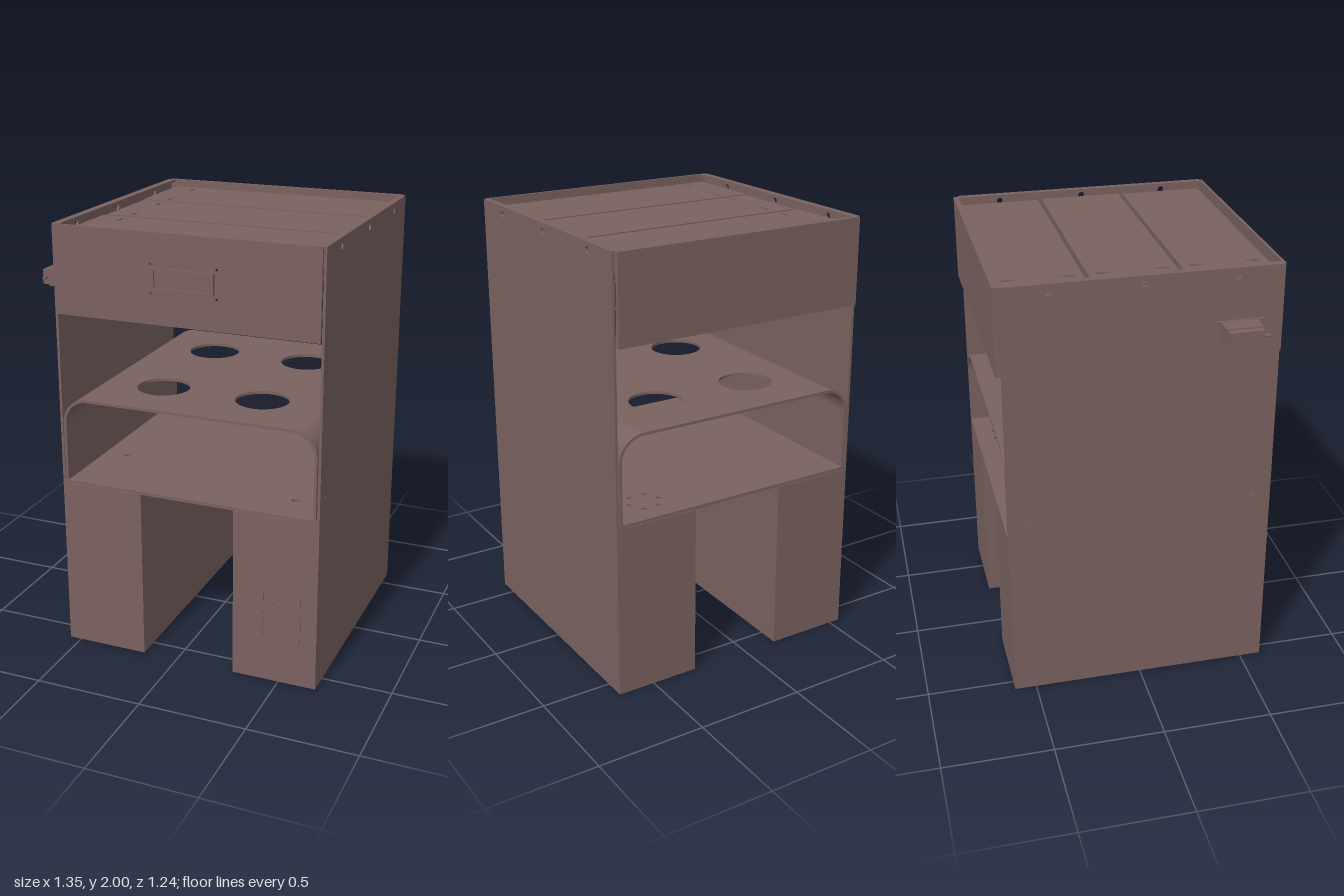
import * as THREE from 'three';

const material = new THREE.MeshStandardMaterial({ color: 0x7a6260, side: THREE.DoubleSide });

// Rectangle outline, and hole outlines: circle and upright slot
const rect = (C, x0, y0, x1, y1) => {
  const s = new C();
  s.moveTo(x0, y0).lineTo(x1, y0).lineTo(x1, y1).lineTo(x0, y1).closePath();
  return s;
};
const circle = (x, y, r) => new THREE.Path().absarc(x, y, r, 0, Math.PI * 2, true);
const slot = (x, y, r, half) => {
  const p = new THREE.Path();
  p.absarc(x, y + half, r, 0, Math.PI, false);
  p.absarc(x, y - half, r, Math.PI, Math.PI * 2, false);
  return p.closePath();
};

const plate = (shape, holes, depth) => {
  shape.holes.push(...holes);
  return new THREE.ExtrudeGeometry(shape, { depth, bevelEnabled: false, curveSegments: 20 });
};

export function createModel() {
  const model = new THREE.Group();
  const add = (name, geometry, parent = model) => {
    const mesh = new THREE.Mesh(geometry, material);
    mesh.name = name;
    parent.add(mesh);
    return mesh;
  };
  // Box given by its two corners
  const box = (name, x0, x1, y0, y1, z0, z1, parent) => add(name,
    new THREE.BoxGeometry(x1 - x0, y1 - y0, z1 - z0)
      .translate((x0 + x1) / 2, (y0 + y1) / 2, (z0 + z1) / 2), parent);
  const group = (name) => {
    const g = new THREE.Group();
    g.name = name;
    model.add(g);
    return g;
  };

  // Tall side panels with bolt holes
  for (const [name, x] of [['rightSidePanel', -0.555], ['leftSidePanel', 0.663]]) {
    const holes = [
      ...[-0.4, 0, 0.4].map((z) => circle(z, 1.965, 0.015)),
      ...[-0.52, 0.52].map((z) => circle(z, 0.9, 0.006)),
    ];
    add(name, plate(rect(THREE.Shape, -0.6, 0, 0.6, 2), holes, 0.012)
      .rotateY(Math.PI / 2).translate(x, 0, 0));
  }

  // Pedestal legs
  box('rightLeg', -0.544, -0.165, 0, 0.803, -0.6, 0.6);
  box('leftLeg', 0.28, 0.664, 0, 0.803, -0.6, 0.6);

  // Shelf with a ring of cable holes
  const shelfHoles = [circle(-0.41, 0.23, 0.016), circle(0.51, 0.43, 0.02)];
  for (let i = 0; i < 6; i++) {
    const a = i * Math.PI / 3;
    shelfHoles.push(circle(0.445 + 0.075 * Math.cos(a), -0.44 + 0.075 * Math.sin(a), 0.014));
  }
  add('shelf', plate(rect(THREE.Shape, -0.544, -0.6, 0.664, 0.6), shelfHoles, 0.015)
    .rotateX(Math.PI / 2).translate(0, 0.82, 0));

  // Bent cover: flat top with four round openings, rounded shoulders and legs
  const cover = group('bentCover');
  const [cx0, cx1, cTop, r, t] = [-0.54, 0.658, 1.218, 0.12, 0.013];
  add('coverTop', plate(rect(THREE.Shape, cx0 + r, -0.6, cx1 - r, 0.6),
    [-0.18, 0.3].flatMap((x) => [-0.3, 0.3].map((z) => circle(x, z, 0.122))), t)
    .rotateX(Math.PI / 2).translate(0, cTop, 0), cover);
  for (const [x, dir] of [[cx0, 1], [cx1, -1]]) {
    const s = new THREE.Shape();
    const a = dir > 0 ? Math.PI : 0;
    s.moveTo(x, 0.82).lineTo(x, cTop - r);
    s.absarc(x + dir * r, cTop - r, r, a, Math.PI / 2, dir > 0);
    s.lineTo(x + dir * r, cTop - t);
    s.absarc(x + dir * r, cTop - r, r - t, Math.PI / 2, a, dir < 0);
    s.lineTo(x + dir * t, 0.82);
    add('coverShoulder', plate(s, [], 1.2).translate(0, 0, -0.6), cover);
  }

  // Hood front with display cut-out and screw holes, and plain hood back
  const screws = [-0.09, 0.21].flatMap((x) => [1.74, 1.865].map((y) => circle(x, y, 0.007)));
  add('hoodFront', plate(rect(THREE.Shape, -0.543, 1.605, 0.661, 2),
    [rect(THREE.Path, -0.075, 1.765, 0.195, 1.845), ...screws], 0.012).translate(0, 0, 0.598));
  box('hoodBack', -0.543, 0.661, 1.605, 2, -0.622, -0.6);

  // Display bezel and screen
  const display = group('display');
  add('displayBezel', plate(rect(THREE.Shape, -0.08, 1.757, 0.2, 1.852),
    [rect(THREE.Path, -0.07, 1.767, 0.19, 1.842)], 0.022).translate(0, 0, 0.6), display);
  box('displayScreen', -0.075, 0.195, 1.765, 1.845, 0.59, 0.612, display);

  // Rim around the top
  const rim = group('topRim');
  box('rimRight', -0.55, -0.52, 1.988, 2, -0.6, 0.6, rim);
  box('rimLeft', 0.645, 0.67, 1.988, 2, -0.6, 0.6, rim);

  // Three recessed top panels with turned-down edges, slots and holes
  for (const [x0, x1, z0, z1, slots, holes] of [
    [-0.515, 0.637, -0.6, -0.22, [-0.54, -0.275], [-0.505, -0.31]],
    [-0.505, 0.645, -0.2, 0.18, [-0.14, 0.125], [-0.105, 0.09]],
    [-0.515, 0.637, 0.2, 0.58, [0.26, 0.525], [0.295, 0.49]],
  ]) {
    const panel = group('topPanel');
    add('panelSheet', plate(rect(THREE.Shape, x0, z0, x1, z1), [
      ...slots.map((z) => slot(-0.395, z, 0.01, 0.013)),
      ...holes.map((z) => circle(-0.395, z, 0.007)),
    ], 0.01).rotateX(Math.PI / 2).translate(0, 1.965, 0), panel);
    box('panelEdge', x0, x1, 1.925, 1.96, z0, z0 + 0.008, panel);
    box('panelEdge', x0, x1, 1.925, 1.96, z1 - 0.008, z1, panel);
  }

  // Rails carrying the top panels
  for (const [x0, x1] of [[-0.543, -0.49], [-0.44, -0.41], [0.61, 0.663]])
    box('panelRail', x0, x1, 1.905, 1.925, -0.6, 0.598);

  // Connector housing on the right side
  const connector = group('sideConnector');
  box('connectorFlange', -0.565, -0.555, 1.69, 1.77, 0.3, 0.52, connector);
  box('connectorBody', -0.645, -0.565, 1.692, 1.768, 0.33, 0.49, connector);
  box('connectorCap', -0.675, -0.645, 1.697, 1.763, 0.335, 0.485, connector);
  box('connectorInner', -0.545, -0.48, 1.7, 1.76, 0.35, 0.47, connector);
  add('connectorLatch', new THREE.CylinderGeometry(0.007, 0.007, 0.03, 10)
    .rotateX(Math.PI / 2).translate(-0.655, 1.73, 0.502), connector);

  // Vent strips on the front of the left leg
  const vent = group('ventStrips');
  for (const y of [0.21, 0.39])
    for (let i = 0; i < 4; i++)
      box('ventBar', 0.37 + i * 0.06, 0.415 + i * 0.06, y - 0.005, y + 0.005, 0.6, 0.605, vent);
  for (const x of [0.42, 0.595])
    for (let i = 0; i < 4; i++)
      box('ventPost', x - 0.005, x + 0.005, 0.215 + i * 0.06, 0.255 + i * 0.06, 0.6, 0.605, vent);

  return model;
}
